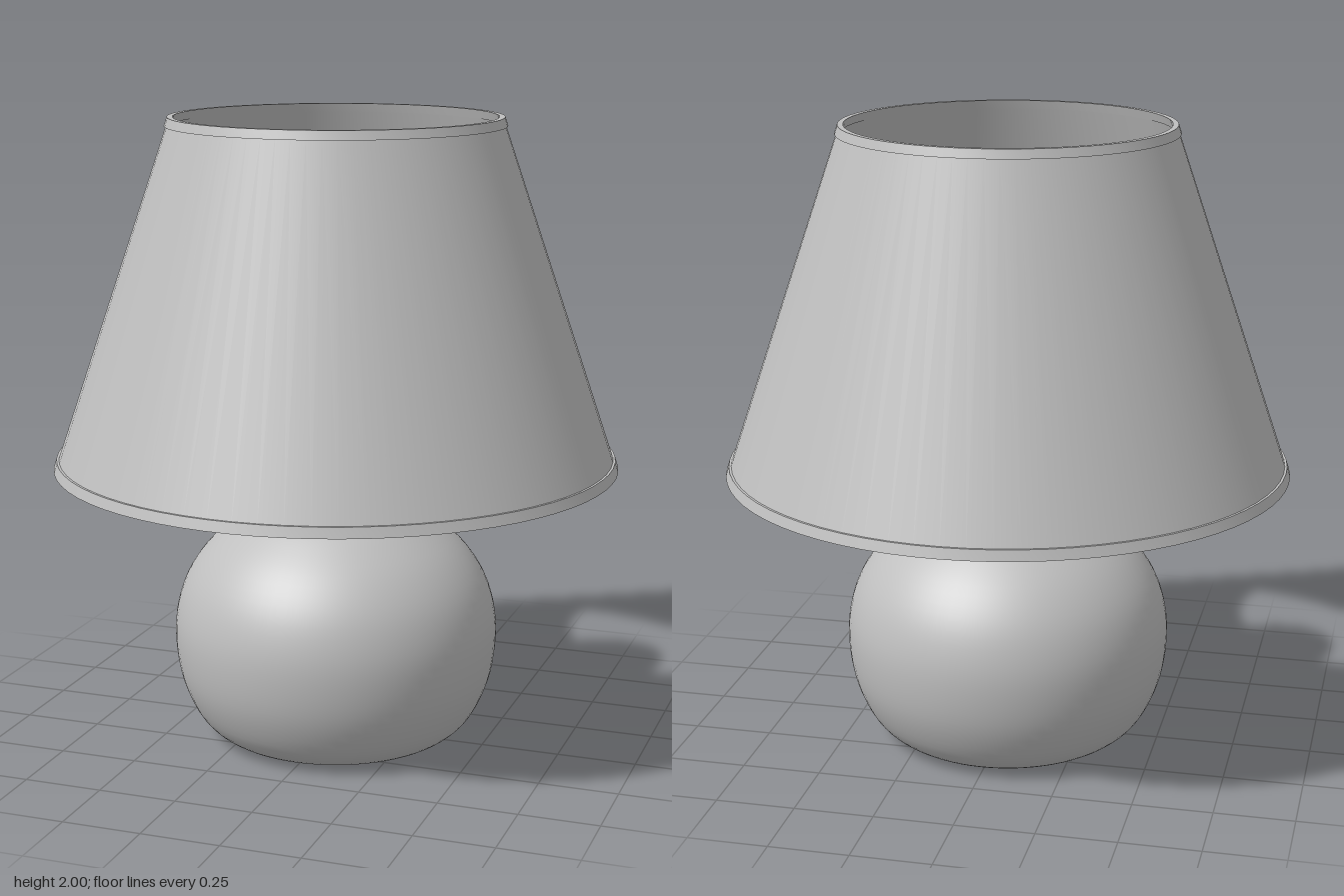
import * as THREE from 'three';
import { toCreasedNormals } from 'three/addons/utils/BufferGeometryUtils.js';

const SEGMENTS = 72;

export function createModel() {
  const lamp = new THREE.Group();
  lamp.name = 'tableLamp';
  const grey = new THREE.MeshStandardMaterial({ color: 0xbfbfbf });
  grey.name = 'plainGrey';

  const vectors = (points) => points.map(([r, y]) => new THREE.Vector2(r, y));
  // Rounded profile through a few control points
  const smooth = (points, count) => new THREE.SplineCurve(vectors(points)).getPoints(count);

  // Turn a profile (outer side running upwards) about the y axis
  function turn(name, profile) {
    const geometry = toCreasedNormals(new THREE.LatheGeometry(profile, SEGMENTS), 0.6);
    const mesh = new THREE.Mesh(geometry, grey);
    mesh.name = name;
    lamp.add(mesh);
  }

  // Round ceramic body with a flat foot and a short waisted neck
  turn('body', [
    new THREE.Vector2(0, 0),
    ...smooth([
      [0.33, 0], [0.39, 0.022], [0.45, 0.08], [0.5, 0.19], [0.52, 0.31],
      [0.515, 0.42], [0.48, 0.53], [0.41, 0.63], [0.31, 0.715], [0.22, 0.77],
      [0.18, 0.795], [0.164, 0.815], [0.162, 0.83], [0.17, 0.847],
    ], 48),
    new THREE.Vector2(0, 0.847),
  ]);

  // Collar on the neck
  turn('collar', vectors([
    [0, 0.847], [0.174, 0.847], [0.178, 0.852], [0.178, 0.885], [0.174, 0.89], [0, 0.89],
  ]));

  // Bulb socket
  turn('socket', vectors([
    [0, 0.888], [0.095, 0.888], [0.095, 0.97], [0.088, 1.0], [0.08, 1.045], [0, 1.045],
  ]));

  // Bulb flaring from a narrow neck into a round head
  turn('bulb', smooth([
    [0.078, 1.03], [0.088, 1.07], [0.12, 1.12], [0.165, 1.185], [0.196, 1.25], [0.209, 1.33],
    [0.201, 1.4], [0.168, 1.47], [0.115, 1.52], [0.055, 1.545], [0, 1.55],
  ], 40));

  // Thin conical shade, open at both ends
  turn('shade', vectors([
    [0.878, 0.91], [0.888, 0.91], [0.519, 1.99], [0.509, 1.99], [0.878, 0.91],
  ]));

  // Trim bands around the shade rims
  turn('lowerTrim', vectors([
    [0.879, 0.9], [0.898, 0.9], [0.888, 0.932], [0.868, 0.932], [0.879, 0.9],
  ]));
  turn('upperTrim', vectors([
    [0.513, 1.972], [0.531, 1.972], [0.522, 2.0], [0.504, 2.0], [0.513, 1.972],
  ]));

  return lamp;
}
